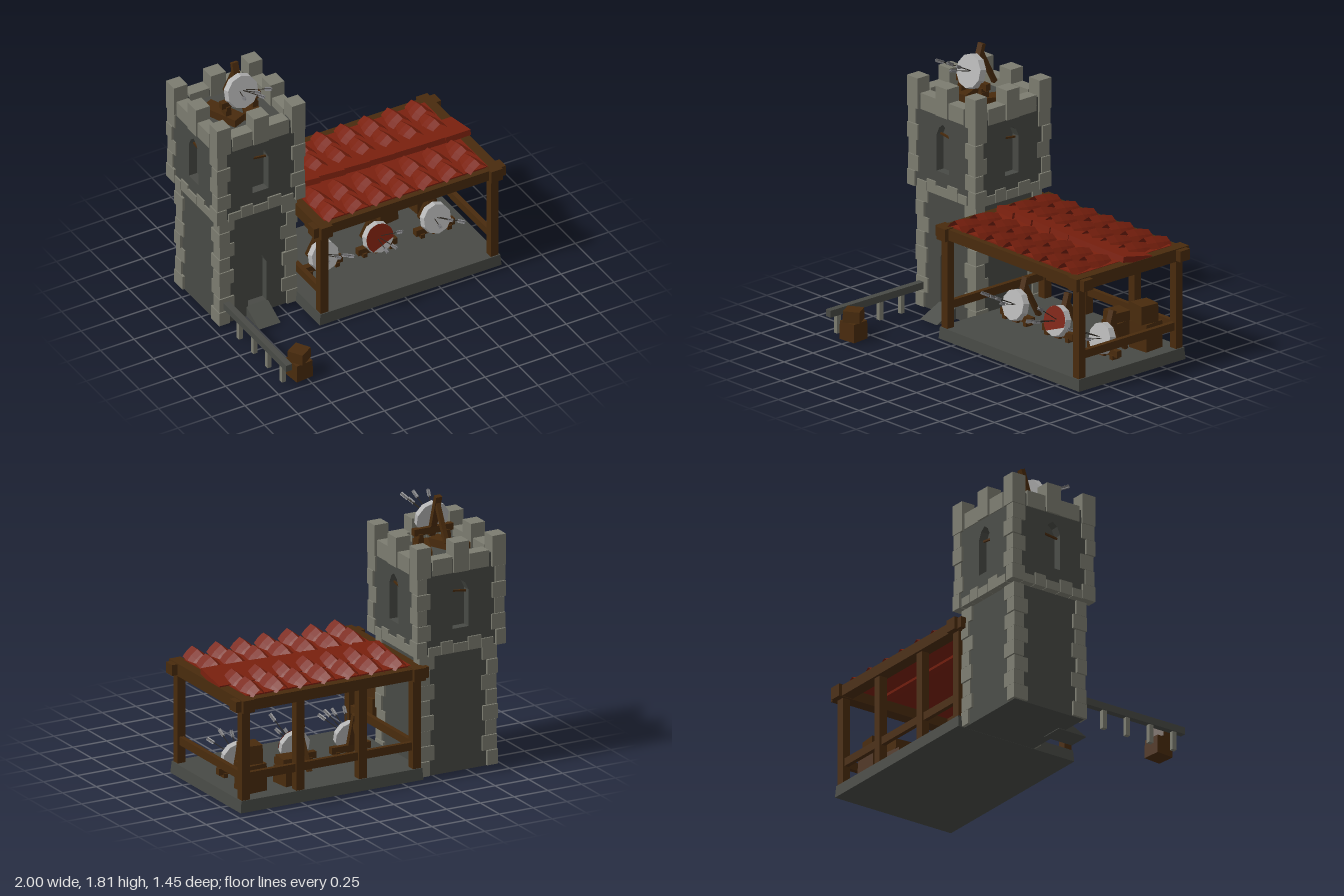
import * as THREE from 'three';

const mat = (name, color, side = THREE.FrontSide) => {
  const m = new THREE.MeshStandardMaterial({ color, side, flatShading: true });
  m.name = name;
  return m;
};

export function createModel() {
  const wall = mat('dark stone', 0x484a45);
  const trim = mat('light stone', 0x7c7c70);
  const wood = mat('wood', 0x492b0d);
  const red = mat('red clay', 0x7a200e, THREE.DoubleSide);
  const straw = mat('target grey', 0xb4b4b4);
  const shaft = mat('arrow shaft', 0x2a2620);
  const feather = mat('feather grey', 0x77777a, THREE.DoubleSide);

  const root = new THREE.Group();
  root.name = 'archeryRange';
  const group = (name, parent = root) => {
    const g = new THREE.Group();
    g.name = name;
    parent.add(g);
    return g;
  };
  const mesh = (parent, name, geo, m) => {
    const o = new THREE.Mesh(geo, m);
    o.name = name;
    parent.add(o);
    return o;
  };
  // box given by its limits
  const box = (parent, name, m, x0, x1, y0, y1, z0, z1) => {
    const o = mesh(parent, name, new THREE.BoxGeometry(x1 - x0, y1 - y0, z1 - z0), m);
    o.position.set((x0 + x1) / 2, (y0 + y1) / 2, (z0 + z1) / 2);
    return o;
  };
  // turn an object's z axis along p to q in its parent's frame
  const aim = (o, p, q) => o.quaternion.setFromRotationMatrix(
    new THREE.Matrix4().lookAt(q, p, new THREE.Vector3(0, 1, 0)));
  // straight beam between two points
  const beam = (parent, name, m, a, b, w, d = w) => {
    const p = new THREE.Vector3(...a), q = new THREE.Vector3(...b);
    const o = mesh(parent, name, new THREE.BoxGeometry(w, d, p.distanceTo(q)), m);
    o.position.copy(p).add(q).multiplyScalar(0.5);
    aim(o, p, q);
    return o;
  };
  const poly = pts => new THREE.Shape(pts.map(p => new THREE.Vector2(...p)));
  // wall panel with a pointed opening
  const panel = (half, y0, y1, w, a, b, c) => {
    const s = poly([[-half, y0], [half, y0], [half, y1], [-half, y1]]);
    const m = b + (c - b) * 0.65;
    s.holes.push(poly([[-w, a], [w, a], [w, b], [w * 0.6, m], [0, c], [-w * 0.6, m], [-w, b]]));
    return new THREE.ExtrudeGeometry(s, { depth: 0.06, bevelEnabled: false });
  };

  // ---- tower ----
  const tower = group('tower');
  tower.position.set(-0.67, 0, -0.372);
  box(tower, 'lowerBody', wall, -0.275, 0.275, 0.01, 0.86, -0.275, 0.22);
  mesh(tower, 'doorWall', panel(0.275, 0.01, 0.86, 0.07, 0.02, 0.39, 0.475), wall).position.z = 0.215;
  box(tower, 'upperCore', wall, -0.25, 0.25, 0.86, 1.43, -0.25, 0.25);
  box(tower, 'upperFloor', wall, -0.312, 0.312, 0.85, 0.88, -0.312, 0.312);

  // corner stones alternate long and short on each face
  const corners = (name, half, size, y0, y1, n) => {
    const h = (y1 - y0) / n;
    for (const sx of [-1, 1]) for (const sz of [-1, 1]) for (let i = 0; i < n; i++) {
      const a = i % 2 ? size : size * 0.72, b = i % 2 ? size * 0.72 : size;
      const out = half - (i % 3) * 0.004;
      const stone = box(tower, name, trim, out - a, out, y0 + i * h + 0.002, y0 + (i + 1) * h - 0.002, out - b, out);
      stone.position.x *= sx;
      stone.position.z *= sz;
    }
  };
  corners('lowerCornerStone', 0.292, 0.11, 0.012, 0.84, 8);
  corners('upperCornerStone', 0.33, 0.1, 0.84, 1.38, 5);

  const wallGeo = panel(0.315, 0.86, 1.42, 0.06, 1.0, 1.25, 1.33);
  for (let i = 0; i < 4; i++) {
    const side = group('towerSide', tower);
    side.rotation.y = i * Math.PI / 2;
    mesh(side, 'windowWall', wallGeo, wall).position.z = 0.255;
    beam(side, 'brokenWindowBar', wood, [-0.058, 1.25, 0.28], [0.058, 1.235, 0.28], 0.012);
    // band of stones at the overhang
    [[-0.24, -0.15, 0.9], [-0.147, -0.06, 0.925], [-0.057, 0.05, 0.9], [0.053, 0.15, 0.93], [0.153, 0.24, 0.9]]
      .forEach(([a, b, y]) => box(side, 'bandStone', trim, a, b, 0.84, y, 0.25, 0.326));
    // parapet and merlons
    box(side, 'cornerMerlon', trim, 0.228, 0.33, 1.38, 1.59, 0.228, 0.33);
    box(side, 'middleMerlon', trim, -0.055, 0.055, 1.385, 1.59, 0.225, 0.33);
    box(side, 'crenelStone', trim, -0.208, -0.062, 1.385, 1.495, 0.235, 0.322);
    box(side, 'crenelStone', trim, 0.062, 0.208, 1.385, 1.495, 0.235, 0.322);
    box(side, 'parapetFill', wall, -0.24, 0.24, 1.38, 1.475, 0.24, 0.312);
  }

  // ramp up to the door
  const ramp = mesh(tower, 'doorRamp', new THREE.ExtrudeGeometry(
    poly([[0.22, 0.005], [0.44, 0.005], [0.27, 0.085], [0.22, 0.085]]), { depth: 0.16, bevelEnabled: false }), wall);
  ramp.rotation.y = -Math.PI / 2;
  ramp.position.x = 0.08;

  // ---- shed ----
  const shed = group('shed');
  const base = mesh(shed, 'stoneBase', new THREE.CylinderGeometry(0.948, 0.958, 0.08, 4, 1, false, Math.PI / 4), wall);
  base.scale.z = 0.683;
  base.position.set(0.285, 0.05, -0.232);
  for (const [x, z] of [[-0.35, 0.19], [0.918, 0.19], [-0.35, -0.655], [0.05, -0.655], [0.515, -0.655], [0.918, -0.655]])
    box(shed, 'post', wood, x - 0.029, x + 0.029, 0.085, 0.72, z - 0.029, z + 0.029);
  box(shed, 'backRail', wood, -0.35, 0.918, 0.215, 0.27, -0.67, -0.64);
  for (const x of [-0.35, 0.918]) {
    box(shed, 'sideRail', wood, x - 0.016, x + 0.016, 0.215, 0.27, -0.655, 0.19);
    box(shed, 'sideBeam', wood, x - 0.043, x + 0.043, 0.697, 0.783, -0.725, 0.25);
  }
  box(shed, 'frontBeam', wood, -0.43, 1.0, 0.703, 0.777, 0.14, 0.222);
  box(shed, 'backBeam', wood, -0.43, 1.0, 0.703, 0.777, -0.7, -0.615);
  box(shed, 'roofDeck', red, -0.33, 0.89, 0.768, 0.786, -0.64, 0.18);

  // arched tile tapering toward its low rear end, built from cross-sections
  const arc = [[-0.076, 0], [-0.046, 0.034], [0, 0.067], [0.046, 0.034], [0.076, 0]];
  const tilePos = [], tileIdx = [];
  for (const [s, z, y] of [[0.92, 0, 0.003], [1, -0.07, -0.006], [0.94, -0.13, -0.014], [0.72, -0.2, -0.02]])
    for (const [x, h] of arc) tilePos.push(x * s, h * s + y, z);
  for (let r = 0; r < 3; r++) for (let i = 0; i < 4; i++) {
    const a = r * 5 + i;
    tileIdx.push(a, a + 1, a + 5, a + 1, a + 6, a + 5);
  }
  const tileGeo = new THREE.BufferGeometry();
  tileGeo.setAttribute('position', new THREE.Float32BufferAttribute(tilePos, 3));
  tileGeo.setIndex(tileIdx);
  tileGeo.computeVertexNormals();
  const roof = group('roofTiles', shed);
  for (const z of [0.22, 0.045, -0.295, -0.47])
    for (let i = 0; i < 7; i++)
      mesh(roof, 'roofTile', tileGeo, red).position.set(-0.248 + i * 0.176, 0.79, z);

  // sloping middle band with a stepped front edge
  const edge = [];
  for (let i = 0; i < 7; i++) {
    const x = -0.33 + i * 0.184;
    edge.push([x, 0.06 - i * 0.01], [x + 0.184, 0.03 - i * 0.005]);
  }
  const band = mesh(roof, 'middleBand', new THREE.ExtrudeGeometry(
    poly([...edge, [0.958, 0.25], [-0.33, 0.25]]), { depth: 0.04, bevelEnabled: false }), red);
  band.rotation.x = -Math.PI / 2 - 0.2;
  band.position.set(0, 0.802, -0.155);

  // ---- targets with arrows ----
  const target = (x, y, z, r, arrows, painted) => {
    const g = group('target');
    g.position.set(x, y, z);
    beam(g, 'backPost', wood, [0, 0.0, 0.015], [0, 0.29, -0.075], 0.045, 0.03);
    beam(g, 'backLeg', wood, [0, 0.24, -0.06], [0, 0.0, -0.185], 0.03);
    box(g, 'crossBar', wood, -0.145, 0.145, 0.02, 0.065, -0.02, 0.02);
    for (const s of [-1, 1]) box(g, 'foot', wood, s * 0.1 - 0.015, s * 0.1 + 0.015, 0, 0.03, -0.03, 0.03);
    const face = group('targetFace', g);
    face.position.set(0, 0.12, 0.02);
    face.rotation.x = -0.25;
    const disc = mesh(face, 'disc', new THREE.CylinderGeometry(r * 0.94, r, 0.045, 10), straw);
    disc.rotation.x = Math.PI / 2;
    if (painted) {
      const s = new THREE.Shape();
      s.absarc(0, 0, r * 0.93, -0.19, 4.07);
      mesh(face, 'redPaint', new THREE.ShapeGeometry(s, 6), red).position.z = 0.026;
    }
    for (const [ax, ay] of arrows) {
      const tip = [ax * 0.25, 0.12 + ay * 0.15, 0.04], end = [ax, 0.12 + ay, 0.21];
      beam(g, 'arrowShaft', shaft, tip, end, 0.004);
      const f = group('fletching', g);
      f.position.set(...end);
      aim(f, new THREE.Vector3(...tip), f.position);
      for (let i = 0; i < 3; i++) {
        const v = mesh(f, 'feather', new THREE.BoxGeometry(0.024, 0.002, 0.06), feather);
        v.rotation.z = i * Math.PI / 3;
      }
    }
  };
  target(-0.12, 0.09, -0.21, 0.108, [[-0.08, 0.1], [0, 0.1], [0.05, 0.1], [0.09, 0.08]]);
  target(0.285, 0.09, -0.21, 0.108, [[-0.05, 0.03], [0.05, 0.14], [0.01, 0.04]], true);
  target(0.715, 0.09, -0.21, 0.108, [[-0.08, 0.08], [0.0, 0.1], [0.08, 0.06]]);
  target(-0.67, 1.52, -0.32, 0.12, [[-0.09, 0.09], [0.01, 0.1], [0.09, 0.1], [0.04, 0.06]]);
  // splayed supports under the tower target
  for (const s of [-1, 1]) {
    box(root, 'towerPlank', wood, -0.67 + s * 0.1 - 0.05, -0.67 + s * 0.1 + 0.05, 1.425, 1.485, -0.5, -0.23)
      .rotation.y = -s * 0.4;
    box(root, 'supportBlock', wood, -0.67 + s * 0.1 - 0.02, -0.67 + s * 0.1 + 0.02, 1.43, 1.525, -0.35, -0.29);
  }

  // ---- stacked crates ----
  const crate = (x, y, z, w, h, a) => {
    const o = mesh(root, 'crate', new THREE.CylinderGeometry(w * 0.68, w * 0.7, h, 4, 1, false, Math.PI / 4), wood);
    o.position.set(x, y + h / 2, z);
    o.rotation.y = a;
  };
  crate(-0.775, 0, 0.625, 0.13, 0.125, 0.1);
  crate(-0.775, 0.125, 0.625, 0.115, 0.077, 0.55);
  crate(0.785, 0.09, -0.51, 0.155, 0.185, 0.08);
  crate(0.785, 0.275, -0.495, 0.135, 0.125, -0.12);
  crate(0.505, 0.09, -0.51, 0.145, 0.115, 0.12);
  crate(0.505, 0.205, -0.51, 0.13, 0.065, -0.1);

  // ---- fence ----
  const fence = group('fence');
  box(fence, 'rail', wall, -0.93, -0.885, 0.137, 0.185, -0.1, 0.725);
  for (const z of [0.645, 0.46, 0.275, 0.09])
    box(fence, 'fencePost', trim, -0.923, -0.893, 0.01, 0.14, z - 0.016, z + 0.016);

  return root;
}
